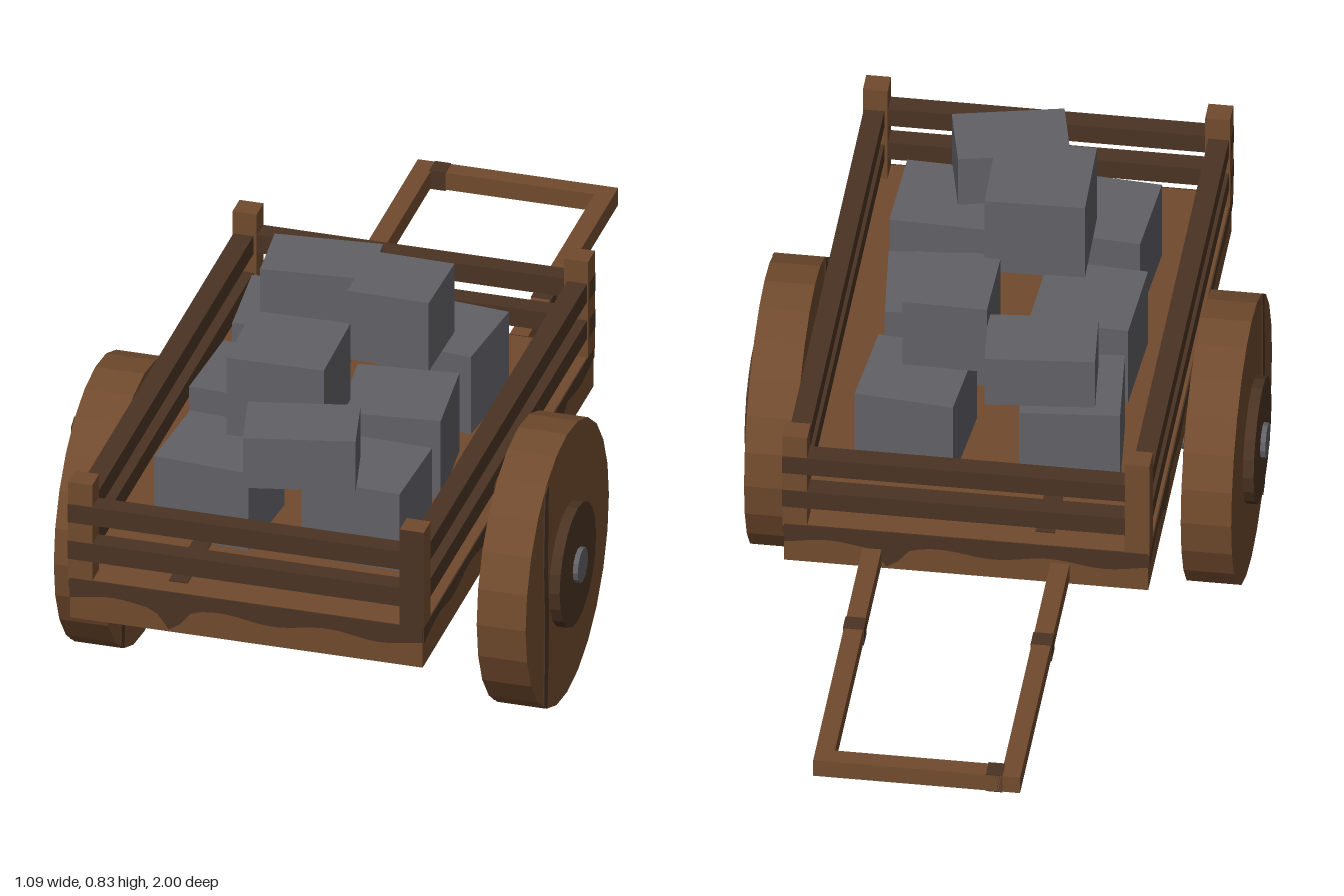
import * as THREE from 'three';

const material = (name, color) => {
  const m = new THREE.MeshStandardMaterial({ color });
  m.name = name;
  return m;
};

export function createModel() {
  const cart = new THREE.Group();
  cart.name = 'handCart';
  const wood = material('brown wood', 0x704a2d);
  const dark = material('dark wood', 0x4a3322);
  const grey = material('grey stone', 0x606066);

  const add = (name, geometry, mat, parent = cart) => {
    const mesh = new THREE.Mesh(geometry, mat);
    mesh.name = name;
    parent.add(mesh);
    return mesh;
  };
  // box given by its limits on each axis
  const box = (name, mat, [x0, x1], [y0, y1], [z0, z1], parent) => {
    const mesh = add(name, new THREE.BoxGeometry(x1 - x0, y1 - y0, z1 - z0), mat, parent);
    mesh.position.set((x0 + x1) / 2, (y0 + y1) / 2, (z0 + z1) / 2);
    return mesh;
  };
  // cylinder lying along x
  const disc = (name, mat, radius, x0, x1, sides, parent) => {
    const g = new THREE.CylinderGeometry(radius, radius, x1 - x0, sides).toNonIndexed();
    g.computeVertexNormals();
    g.rotateZ(Math.PI / 2).translate((x0 + x1) / 2, 0, 0);
    return add(name, g, mat, parent);
  };

  // bed with a grain streak along the floor
  box('bed', wood, [-0.382, 0.382], [0.37, 0.465], [-0.257, 0.997]);
  box('floorStreak', dark, [-0.18, -0.14], [0.464, 0.468], [-0.215, 0.955]);

  // worn dark upper edge of the bed, one wavy plate per side
  const wavyEdge = (length, depth, dip) => {
    const s = new THREE.Shape();
    const h = length / 2;
    s.moveTo(h, 0.465);
    s.lineTo(-h, 0.465);
    for (let i = 0; i <= 32; i++) {
      const x = -h + (length * i) / 32;
      const notch = 0.045 * Math.exp(-(((x - dip) / 0.025) ** 2));
      s.lineTo(x, Math.max(0.372, 0.465 - depth - 0.007 * Math.sin(x * 27) - notch));
    }
    return new THREE.ExtrudeGeometry(s, { depth: 0.003, bevelEnabled: false });
  };
  add('frontWornEdge', wavyEdge(0.764, 0.04, -0.16), dark).position.z = 0.997;
  const backEdge = add('backWornEdge', wavyEdge(0.764, 0.04, -0.16), dark);
  backEdge.rotation.y = Math.PI;
  backEdge.position.z = -0.257;
  for (const s of [1, -1]) {
    const edge = add('sideWornEdge', wavyEdge(1.254, 0.03, s * 0.37), dark);
    edge.rotation.y = (s * Math.PI) / 2;
    edge.position.set(s * 0.382, 0, 0.37);
  }

  // corner posts; one has a dark front face
  const darkFront = [wood, wood, wood, wood, dark, wood];
  for (const s of [1, -1]) {
    const x = s > 0 ? [0.333, 0.385] : [-0.385, -0.333];
    box('frontPost', s > 0 ? darkFront : wood, x, [0.46, 0.692], [0.948, 0.999]);
    box('backPost', wood, x, [0.46, 0.692], [-0.259, -0.208]);
  }

  // two levels of rails on all four sides
  for (const y of [[0.51, 0.553], [0.597, 0.64]]) {
    for (const x of [[0.34, 0.383], [-0.383, -0.34]]) box('sideRail', dark, x, y, [-0.21, 0.95]);
    box('frontRail', dark, [-0.386, 0.334], y, [0.956, 1]);
    box('backRail', dark, [-0.334, 0.386], y, [-0.26, -0.216]);
  }

  // pulling handle
  for (const s of [1, -1]) {
    const x = s > 0 ? [0.177, 0.217] : [-0.217, -0.177];
    box('handleBar', wood, x, [0.38, 0.42], [-0.96, -0.25]);
    box('handleStreak', dark, [x[0] - 0.002, x[1] + 0.002], [0.379, 0.421], [-0.54, -0.5]);
  }
  box('handleCrossbar', wood, [-0.217, 0.217], [0.38, 0.42], [-1, -0.96]);
  box('crossbarStreak', dark, [-0.18, -0.145], [0.378, 0.422], [-1, -0.958]);

  // axle and wheels
  const running = new THREE.Group();
  running.name = 'axleAndWheels';
  running.position.set(0, 0.306, 0.372);
  cart.add(running);
  disc('axle', grey, 0.032, -0.4, 0.4, 12, running);
  const streak = new THREE.Shape([
    [0.145, 0.265], [0.152, 0.08], [0.143, -0.05], [0.155, -0.261],
    [0.178, -0.246], [0.172, -0.06], [0.18, 0.07], [0.17, 0.252],
  ].map(([z, y]) => new THREE.Vector2(-z, y)));
  for (const s of [1, -1]) {
    const wheel = new THREE.Group();
    wheel.name = s > 0 ? 'leftWheel' : 'rightWheel';
    running.add(wheel);
    const span = (a, b) => (s > 0 ? [a, b] : [-b, -a]);
    disc('wheelDisc', wood, 0.306, ...span(0.405, 0.511), 24, wheel);
    disc('hub', dark, 0.134, ...span(0.385, 0.534), 20, wheel);
    disc('axleEnd', grey, 0.038, ...span(0.375, 0.545), 12, wheel);
    // grain streak on both faces
    for (const x of [0.402, 0.51]) {
      const g = new THREE.ExtrudeGeometry(streak, { depth: 0.004, bevelEnabled: false });
      g.rotateY(Math.PI / 2).translate(s > 0 ? x : -x - 0.004, 0, 0);
      add('wheelStreak', g, dark, wheel);
    }
  }

  // stone blocks: x, z, width, depth, bottom, top, turn
  const stones = [
    [-0.178, 0.06, 0.21, 0.21, 0.465, 0.648, 0.09],
    [0.15, 0.06, 0.21, 0.21, 0.465, 0.648, -0.1],
    [-0.17, 0.365, 0.21, 0.21, 0.465, 0.65, -0.06],
    [0.145, 0.365, 0.215, 0.21, 0.465, 0.65, 0.1],
    [-0.155, 0.67, 0.21, 0.21, 0.465, 0.648, -0.08],
    [0.165, 0.67, 0.215, 0.21, 0.465, 0.648, -0.04],
    [-0.115, 0.053, 0.23, 0.155, 0.648, 0.766, 0.09],
    [0.09, 0.167, 0.178, 0.178, 0.648, 0.81, -0.02],
    [-0.047, 0.528, 0.21, 0.21, 0.648, 0.83, 0.02],
    [0.045, 0.742, 0.235, 0.157, 0.648, 0.766, 0.22],
  ];
  for (const [x, z, w, d, y0, y1, turn] of stones) {
    const stone = add('stoneBlock', new THREE.BoxGeometry(w, y1 - y0, d), grey);
    stone.position.set(x, (y0 + y1) / 2, z);
    stone.rotation.y = turn;
  }
  return cart;
}
